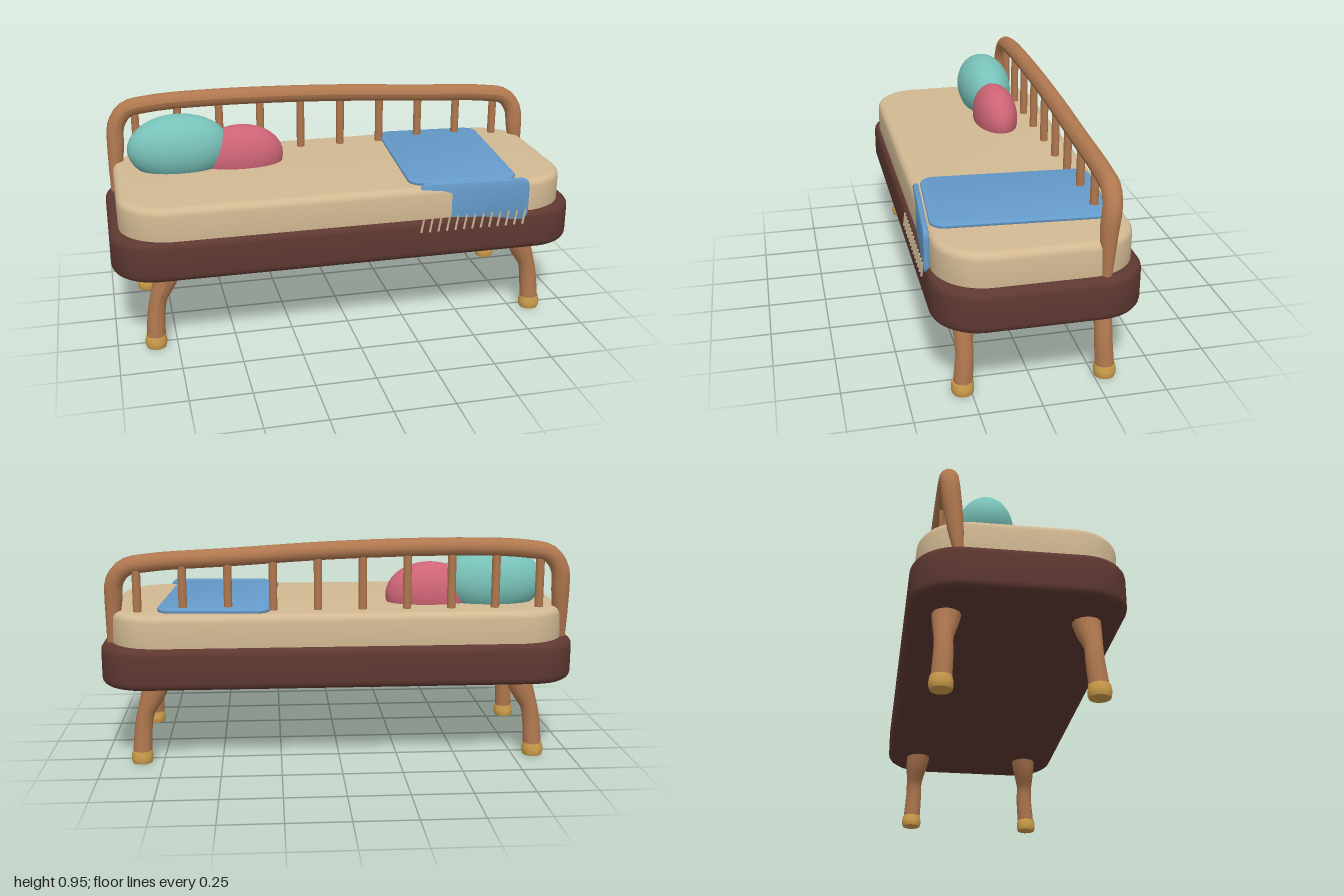
import * as THREE from 'three';
import { toCreasedNormals } from 'three/addons/utils/BufferGeometryUtils.js';

const material = (name, color) => {
  const m = new THREE.MeshStandardMaterial({ color });
  m.name = name;
  return m;
};

// Rounded rectangle slab with softened edges, lying flat from y = 0 to y = height
function slab(width, depth, height, corner, bevel) {
  const w = width / 2 - bevel, d = depth / 2 - bevel, r = corner - bevel;
  const s = new THREE.Shape();
  s.moveTo(-w + r, -d);
  s.lineTo(w - r, -d);
  s.absarc(w - r, -d + r, r, -Math.PI / 2, 0);
  s.lineTo(w, d - r);
  s.absarc(w - r, d - r, r, 0, Math.PI / 2);
  s.lineTo(-w + r, d);
  s.absarc(-w + r, d - r, r, Math.PI / 2, Math.PI);
  s.lineTo(-w, -d + r);
  s.absarc(-w + r, -d + r, r, Math.PI, Math.PI * 1.5);
  const geo = new THREE.ExtrudeGeometry(s, {
    depth: height - 2 * bevel, bevelEnabled: true, bevelSize: bevel,
    bevelThickness: bevel, bevelSegments: 4, curveSegments: 8,
  });
  geo.rotateX(-Math.PI / 2).translate(0, bevel, 0);
  return toCreasedNormals(geo, 0.6);
}

// Tube along [x, y, z, radius] stations
function taperedTube(stations, segments, sides) {
  const curve = new THREE.CatmullRomCurve3(
    stations.map(([x, y, z]) => new THREE.Vector3(x, y, z)), false, 'centripetal');
  const geo = new THREE.TubeGeometry(curve, segments, 1, sides);
  const pos = geo.attributes.position, v = new THREE.Vector3();
  for (let i = 0; i <= segments; i++) {
    const centre = curve.getPointAt(i / segments);
    const t = curve.getUtoTmapping(i / segments) * (stations.length - 1);
    const k = Math.min(Math.floor(t), stations.length - 2);
    const radius = THREE.MathUtils.lerp(stations[k][3], stations[k + 1][3], t - k);
    for (let j = 0; j <= sides; j++) {
      const n = i * (sides + 1) + j;
      v.fromBufferAttribute(pos, n).sub(centre).multiplyScalar(radius).add(centre);
      pos.setXYZ(n, v.x, v.y, v.z);
    }
  }
  geo.computeVertexNormals();
  return geo;
}

export function createModel() {
  const model = new THREE.Group();
  model.name = 'daybed';
  const darkWood = material('dark wood', 0x5e3831);
  const wood = material('warm wood', 0xb0784f);
  const brass = material('brass', 0xd0a04c);
  const linen = material('linen', 0xd2b993);
  const blue = material('blue cloth', 0x659bcb);
  const teal = material('teal cloth', 0x78c2b9);
  const pink = material('pink cloth', 0xcd6475);
  const thread = material('fringe thread', 0xc8b593);

  const add = (name, geo, mat, x = 0, y = 0, z = 0, parent = model) => {
    const mesh = new THREE.Mesh(geo, mat);
    mesh.name = name;
    mesh.position.set(x, y, z);
    parent.add(mesh);
    return mesh;
  };

  // Base and mattress
  add('base', slab(2, 0.825, 0.175, 0.19, 0.03), darkWood, 0, 0.34, -0.008);
  add('mattress', slab(1.92, 0.78, 0.19, 0.2, 0.03), linen, 0, 0.46, -0.004);

  // Splayed legs with brass feet
  const footProfile = [[0, 0], [0.041, 0], [0.045, 0.012], [0.046, 0.028], [0.042, 0.052], [0, 0.052]]
    .map(([r, y]) => new THREE.Vector2(r, y));
  const foot = toCreasedNormals(new THREE.LatheGeometry(footProfile, 16), 0.7);
  for (const side of [-1, 1]) {
    for (const [name, top, knee, ankle] of [['front', 0.258, 0.273, 0.283], ['back', -0.272, -0.288, -0.295]]) {
      add(name + 'Leg', taperedTube([
        [side * 0.765, 0.37, top, 0.06],
        [side * 0.785, 0.3, (top + knee) / 2, 0.051],
        [side * 0.818, 0.22, knee, 0.036],
        [side * 0.83, 0.16, knee, 0.037],
        [side * 0.84, 0.03, ankle, 0.04],
      ], 16, 12), wood);
      add(name + 'Foot', foot, brass, side * 0.84, 0, ankle);
    }
  }

  // Bent back rail with tapering end posts
  const rail = [
    [-0.955, 0.5, -0.25, 0.018], [-0.945, 0.6, -0.26, 0.031], [-0.938, 0.72, -0.275, 0.038],
    [-0.93, 0.81, -0.283, 0.038], [-0.885, 0.875, -0.285, 0.038], [-0.78, 0.898, -0.285, 0.038],
    [-0.5, 0.909, -0.283, 0.038], [0, 0.899, -0.28, 0.038], [0.45, 0.873, -0.276, 0.038],
    [0.78, 0.853, -0.272, 0.038], [0.885, 0.832, -0.27, 0.038], [0.93, 0.775, -0.262, 0.038],
    [0.938, 0.7, -0.252, 0.037], [0.945, 0.6, -0.248, 0.029], [0.955, 0.5, -0.245, 0.018],
  ];
  add('backRail', taperedTube(rail, 90, 14), wood);

  // Spindles reach up into the rail
  const railHeight = (x) => {
    const k = rail.findIndex((p) => p[0] > x);
    const a = rail[k - 1], b = rail[k];
    return THREE.MathUtils.lerp(a[1], b[1], (x - a[0]) / (b[0] - a[0]));
  };
  for (let i = 0; i < 10; i++) {
    const x = -0.845 + i * 0.187;
    const height = railHeight(x) - 0.6;
    add('spindle', new THREE.CylinderGeometry(0.018, 0.018, height, 10), wood, x, 0.6 + height / 2, -0.285);
  }

  // Cushions
  const ball = new THREE.SphereGeometry(1, 32, 20);
  add('largeCushion', ball, teal, -0.67, 0.738, -0.128).scale.set(0.224, 0.148, 0.124);
  add('smallCushion', ball, pink, -0.4, 0.682, -0.125).scale.set(0.19, 0.14, 0.1);

  // Throw blanket: top panel and hanging front panel
  const turn = -0.07;
  add('throwTop', slab(0.47, 0.71, 0.018, 0.06, 0.008), blue, 0.503, 0.649, 0.006).rotation.y = turn;
  const drop = new THREE.Group();
  drop.name = 'throwDrop';
  drop.position.set(0.517, 0.574, 0.382);
  drop.rotation.y = turn;
  model.add(drop);
  add('hangingPanel', slab(0.475, 0.188, 0.022, 0.035, 0.009).rotateX(Math.PI / 2), blue, 0, 0, -0.011, drop);

  // Fringe of small leaning tassels
  const tassel = new THREE.CylinderGeometry(0.004, 0.005, 0.064, 6);
  for (let i = 0; i < 13; i++) {
    const t = add('tassel', tassel, thread, 0.282 + i * 0.0375, 0.498, 0.414);
    t.rotation.set(-0.06, 0, -0.2);
  }
  return model;
}
